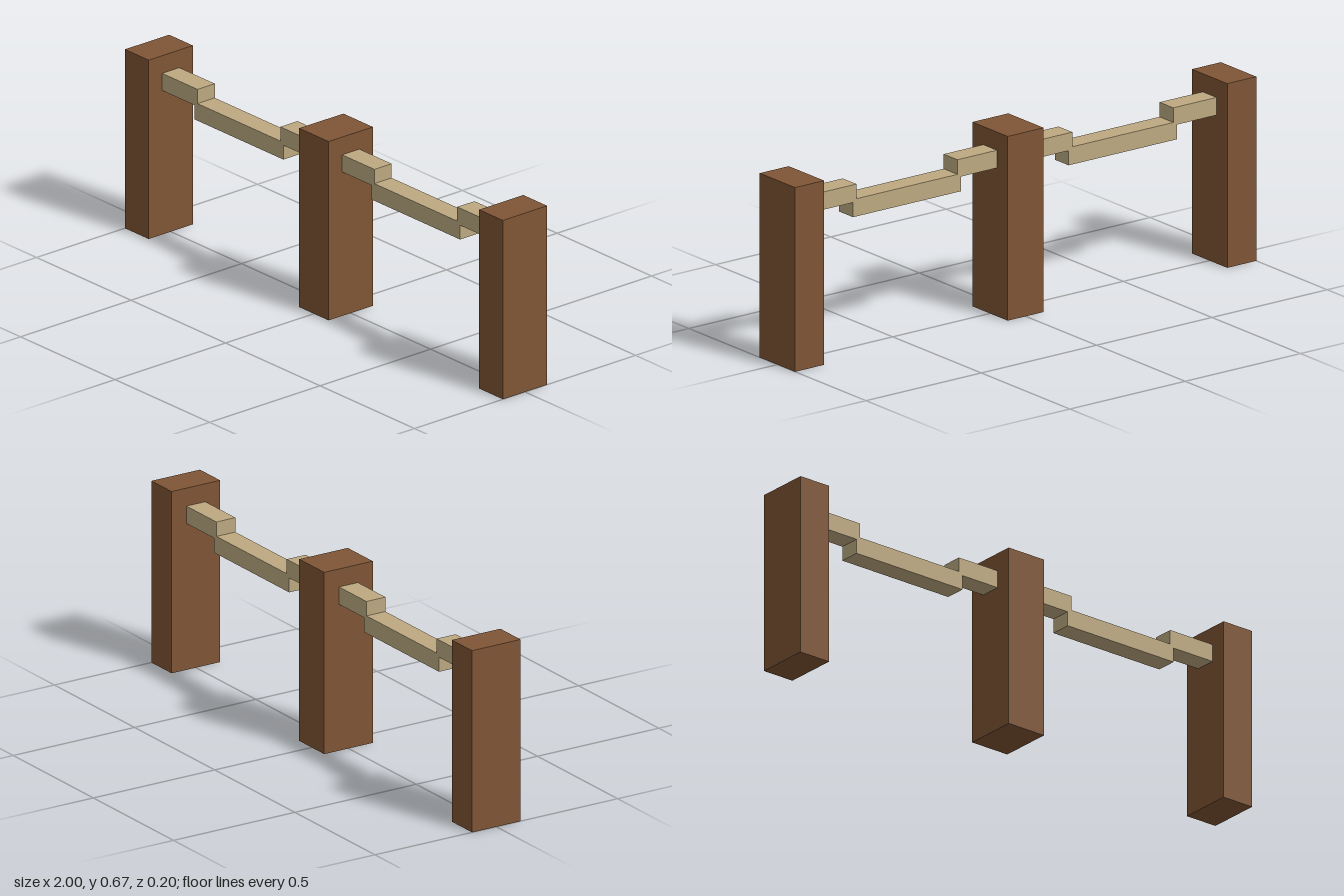
import * as THREE from 'three';

export function createModel() {
  const model = new THREE.Group();
  model.name = 'ropeFence';

  const wood = new THREE.MeshStandardMaterial({ color: 0x7f5535 });
  wood.name = 'brown wood';
  const rope = new THREE.MeshStandardMaterial({ color: 0xbda981 });
  rope.name = 'tan rope';

  // Box given by its x and y limits, centred on z = 0
  function box(name, material, x0, x1, y0, y1, depth, parent) {
    const mesh = new THREE.Mesh(new THREE.BoxGeometry(x1 - x0, y1 - y0, depth), material);
    mesh.position.set((x0 + x1) / 2, (y0 + y1) / 2, 0);
    mesh.name = name;
    parent.add(mesh);
  }

  // Posts
  box('rightPost', wood, -1, -0.874, 0, 0.667, 0.2, model);
  box('middlePost', wood, -0.078, 0.078, 0, 0.667, 0.2, model);
  box('leftPost', wood, 0.874, 1, 0, 0.667, 0.2, model);

  // Sagging rope spans: two raised ends and a lower middle
  for (const [side, name] of [[-1, 'rightRope'], [1, 'leftRope']]) {
    const span = new THREE.Group();
    span.name = name;
    const piece = (label, a, b, y0, y1) =>
      box(label, rope, Math.min(side * a, side * b), Math.max(side * a, side * b), y0, y1, 0.078, span);
    piece('innerRopeEnd', 0.078, 0.249, 0.537, 0.601);
    piece('ropeSag', 0.233, 0.702, 0.484, 0.548);
    piece('outerRopeEnd', 0.687, 0.874, 0.537, 0.601);
    model.add(span);
  }

  return model;
}
